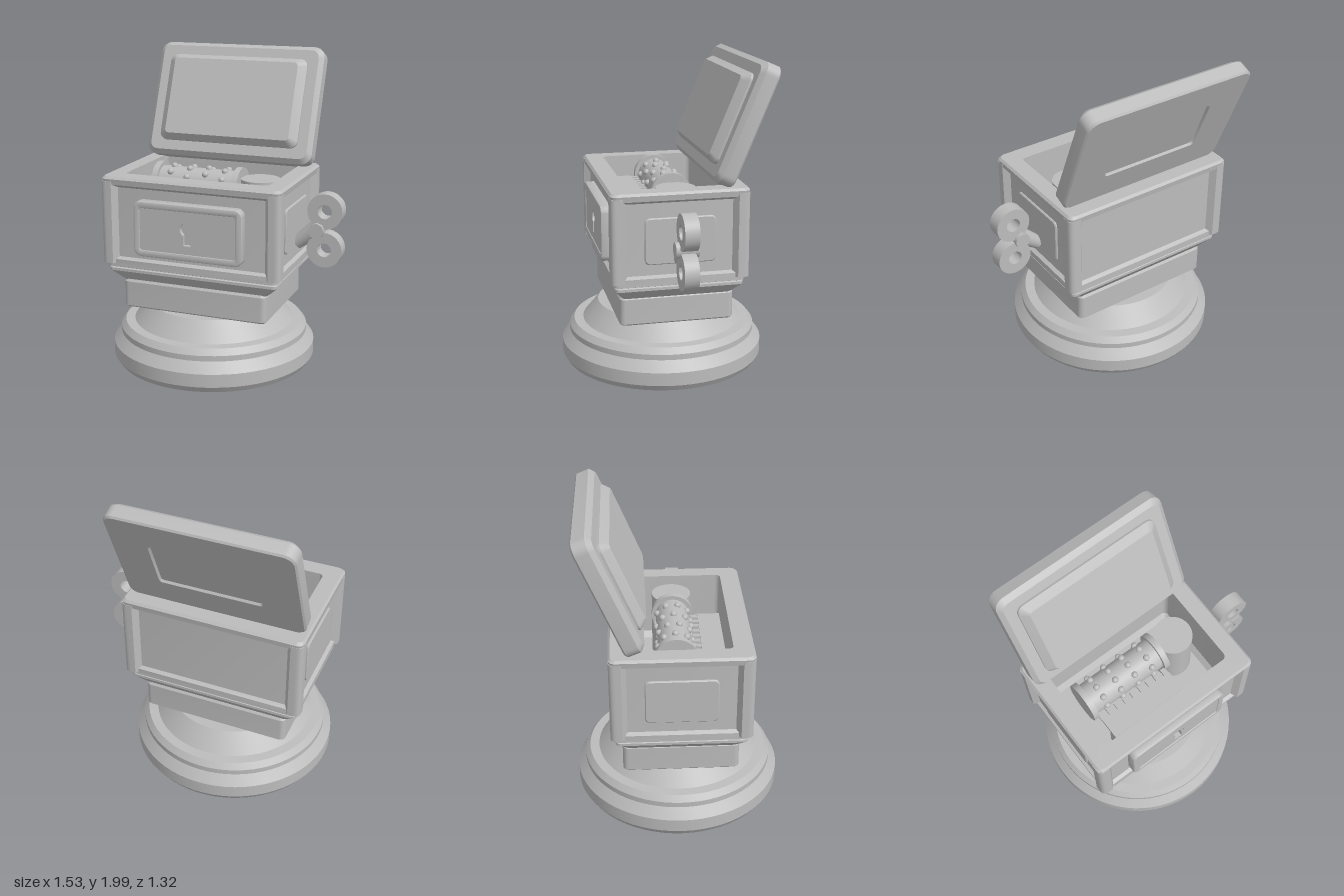
import * as THREE from 'three';
import { toCreasedNormals } from 'three/addons/utils/BufferGeometryUtils.js';

const grey = new THREE.MeshStandardMaterial({ color: 0xbcbcbc });
grey.name = 'plain grey';

function part(parent, name, geometry, x = 0, y = 0, z = 0) {
  const mesh = new THREE.Mesh(geometry, grey);
  mesh.name = name;
  mesh.position.set(x, y, z);
  parent.add(mesh);
  return mesh;
}

// Stack of rounded rectangles [y, halfX, halfZ, cornerRadius], capped at both ends
function loft(sections, seg = 6) {
  const rings = sections.map(([y, hx, hz, r]) => {
    const ring = [];
    [[1, 1], [-1, 1], [-1, -1], [1, -1]].forEach(([sx, sz], q) => {
      for (let i = 0; i <= seg; i++) {
        const a = (q + i / seg) * Math.PI / 2;
        ring.push([sx * (hx - r) + r * Math.cos(a), y, sz * (hz - r) + r * Math.sin(a)]);
      }
    });
    return ring;
  });
  const out = [], n = rings[0].length, last = rings.length - 1;
  const tri = (...corners) => corners.forEach(c => out.push(...c));
  for (let i = 0; i < n; i++) {
    const j = (i + 1) % n;
    for (let k = 0; k < last; k++) {
      const a = rings[k][i], b = rings[k][j], c = rings[k + 1][i], d = rings[k + 1][j];
      tri(a, c, b);
      tri(b, c, d);
    }
    tri([0, sections[0][0], 0], rings[0][i], rings[0][j]);
    tri([0, sections[last][0], 0], rings[last][j], rings[last][i]);
  }
  const geometry = new THREE.BufferGeometry();
  geometry.setAttribute('position', new THREE.Float32BufferAttribute(out, 3));
  return toCreasedNormals(geometry, 0.5);
}

function lathe(points, segments = 64) {
  const profile = points.map(p => new THREE.Vector2(...p));
  return toCreasedNormals(new THREE.LatheGeometry(profile, segments), 0.4);
}

function roundedRect(hx, hy, r) {
  const s = new THREE.Shape();
  s.absarc(hx - r, hy - r, r, 0, Math.PI / 2);
  s.absarc(-hx + r, hy - r, r, Math.PI / 2, Math.PI);
  s.absarc(-hx + r, -hy + r, r, Math.PI, Math.PI * 1.5);
  s.absarc(hx - r, -hy + r, r, Math.PI * 1.5, Math.PI * 2);
  s.closePath();
  return s;
}

export function createModel() {
  const model = new THREE.Group();
  model.name = 'musicBox';
  const body = new THREE.Group();
  body.name = 'body';
  body.position.x = -0.105;
  model.add(body);

  // Round pedestal with a groove underneath
  part(body, 'roundBase', lathe([
    [0, 0], [0.475, 0], [0.475, 0.04], [0.56, 0.04], [0.58, 0], [0.635, 0],
    [0.66, 0.04], [0.66, 0.125], [0.61, 0.19], [0.61, 0.225], [0.58, 0.262],
    [0.52, 0.265], [0.42, 0.385], [0, 0.385],
  ]));

  // Square neck and flared moulding
  part(body, 'neck', loft([
    [0.385, 0.47, 0.35, 0.03], [0.395, 0.48, 0.36, 0.035],
    [0.555, 0.48, 0.36, 0.035], [0.57, 0.47, 0.35, 0.03],
  ]));
  part(body, 'flare', loft([
    [0.565, 0.485, 0.345, 0.03], [0.635, 0.56, 0.4, 0.03], [0.652, 0.56, 0.4, 0.03],
    [0.658, 0.55, 0.39, 0.03], [0.664, 0.565, 0.405, 0.03], [0.695, 0.565, 0.405, 0.03],
  ]));

  // Hollow box with a moulded rim
  part(body, 'hollowBox', loft([
    [0.69, 0.572, 0.412, 0.03], [0.715, 0.572, 0.412, 0.03], [0.73, 0.55, 0.39, 0.03],
    [1.18, 0.55, 0.39, 0.03], [1.2, 0.585, 0.425, 0.04], [1.235, 0.59, 0.43, 0.04],
    [1.25, 0.577, 0.417, 0.04], [1.25, 0.475, 0.305, 0.03], [1.21, 0.475, 0.305, 0.03],
    [0.84, 0.475, 0.305, 0.03], [0.8, 0.445, 0.275, 0.03],
  ]));

  // Corner posts with chamfered inner edges
  for (const sx of [-1, 1]) for (const sz of [-1, 1]) {
    const p = (x, z) => [sx * (0.59 - x), -sz * (0.43 - z)];
    const s = new THREE.Shape();
    s.moveTo(...p(0.075, 0));
    s.lineTo(...p(0.105, 0.042));
    s.lineTo(...p(0.105, 0.105));
    s.lineTo(...p(0.042, 0.105));
    s.lineTo(...p(0, 0.075));
    s.lineTo(...p(0, 0.04));
    s.quadraticCurveTo(...p(0, 0), ...p(0.04, 0));
    const g = new THREE.ExtrudeGeometry(s, { depth: 0.53, bevelEnabled: false, curveSegments: 6 });
    g.rotateX(-Math.PI / 2);
    part(body, 'cornerPost', toCreasedNormals(g, 0.5), 0, 0.69, 0);
  }

  // Side plates
  for (const side of [-1, 1]) {
    const plate = part(body, 'sidePlate', loft([
      [0, 0.145, 0.22, 0.03], [0.008, 0.145, 0.22, 0.03], [0.014, 0.139, 0.214, 0.028],
    ]), side * 0.549, 0.943, 0);
    plate.rotation.z = -side * Math.PI / 2;
  }

  // Lock plate with a keyhole
  const plateShape = roundedRect(0.34, 0.158, 0.03);
  const keyhole = new THREE.Path();
  keyhole.moveTo(-0.025, -0.08);
  keyhole.lineTo(0.025, -0.08);
  keyhole.lineTo(0.025, -0.017);
  keyhole.absarc(0, 0.022, 0.045, -Math.PI * 0.31, Math.PI * 1.31);
  keyhole.lineTo(-0.025, -0.08);
  plateShape.holes.push(keyhole);
  part(body, 'lockPlate', toCreasedNormals(new THREE.ExtrudeGeometry(plateShape, { depth: 0.03, bevelEnabled: false }), 0.5), 0, 0.942, 0.416);
  const rim = roundedRect(0.345, 0.165, 0.035);
  rim.holes.push(roundedRect(0.325, 0.145, 0.025));
  part(body, 'lockPlateRim', toCreasedNormals(new THREE.ExtrudeGeometry(rim, {
    depth: 0.055, bevelThickness: 0.01, bevelSize: 0.012, bevelSegments: 2,
  }), 0.5), 0, 0.942, 0.388);
  part(body, 'lockBacking', new THREE.BoxGeometry(0.66, 0.3, 0.03), 0, 0.942, 0.402);

  // Open lid: bevelled slab, shallow panel behind, raised pad in front
  const lid = new THREE.Group();
  lid.name = 'lid';
  lid.position.set(0, 1.62, -0.41);
  lid.rotation.x = -0.395;
  body.add(lid);
  const slab = loft([
    [-0.047, 0.32, 0.17, 0.02], [-0.061, 0.33, 0.18, 0.025], [-0.061, 0.565, 0.38, 0.065],
    [-0.05, 0.575, 0.39, 0.07], [0.032, 0.575, 0.39, 0.07], [0.061, 0.545, 0.36, 0.05],
  ]);
  part(lid, 'lidSlab', slab.rotateX(Math.PI / 2));
  const pad = loft([
    [0.055, 0.48, 0.295, 0.05], [0.075, 0.48, 0.295, 0.05], [0.12, 0.43, 0.258, 0.025],
  ]);
  part(lid, 'lidPad', pad.rotateX(Math.PI / 2));

  // Pinned drum between two flanges
  const drum = new THREE.Group();
  drum.name = 'drum';
  drum.position.set(-0.21, 1.14, -0.025);
  model.add(drum);
  const along = (r, length) => new THREE.CylinderGeometry(r, r, length, 40).rotateZ(Math.PI / 2);
  part(drum, 'drumBarrel', along(0.105, 0.54));
  for (const x of [-0.27, 0.277]) part(drum, 'drumFlange', along(0.13, 0.038), x);
  const pinGeometry = new THREE.SphereGeometry(0.021, 12, 8);
  for (let row = 0; row < 4; row++) for (let i = 0; i < 9; i++) {
    const a = (i + (row % 2) * 0.4) * Math.PI * 2 / 9;
    part(drum, 'pin', pinGeometry, -0.175 + row * 0.12, Math.cos(a) * 0.107, Math.sin(a) * 0.107);
  }

  // Spring barrel and toothed comb
  part(model, 'springBarrel', new THREE.CylinderGeometry(0.125, 0.125, 0.41, 40), 0.205, 1.005, -0.025);
  part(model, 'combPlate', new THREE.BoxGeometry(0.52, 0.03, 0.14), -0.205, 1.12, 0.205);
  part(model, 'combStand', new THREE.BoxGeometry(0.48, 0.31, 0.09), -0.205, 0.95, 0.225);
  for (let i = 0; i < 9; i++) {
    part(model, 'combTooth', new THREE.BoxGeometry(0.034, 0.02, 0.05), -0.45 + i * 0.0605, 1.12, 0.115);
  }

  // Winding key with two ring handles
  const key = new THREE.Group();
  key.name = 'windingKey';
  model.add(key);
  const shaft = part(key, 'keyShaft', new THREE.CylinderGeometry(0.06, 0.042, 0.18, 24), 0.53, 0.88, 0);
  shaft.rotation.z = -0.9;
  part(key, 'keyCollar', new THREE.CylinderGeometry(0.05, 0.05, 0.14, 8).rotateX(Math.PI / 2), 0.6, 0.928, 0);
  const ring = lathe([[0.045, -0.045], [0.112, -0.045], [0.112, 0.045], [0.045, 0.045], [0.045, -0.045]], 40);
  ring.rotateX(Math.PI / 2);
  for (const y of [0.805, 1.05]) part(key, 'keyRing', ring, 0.648, y, 0);

  return model;
}
